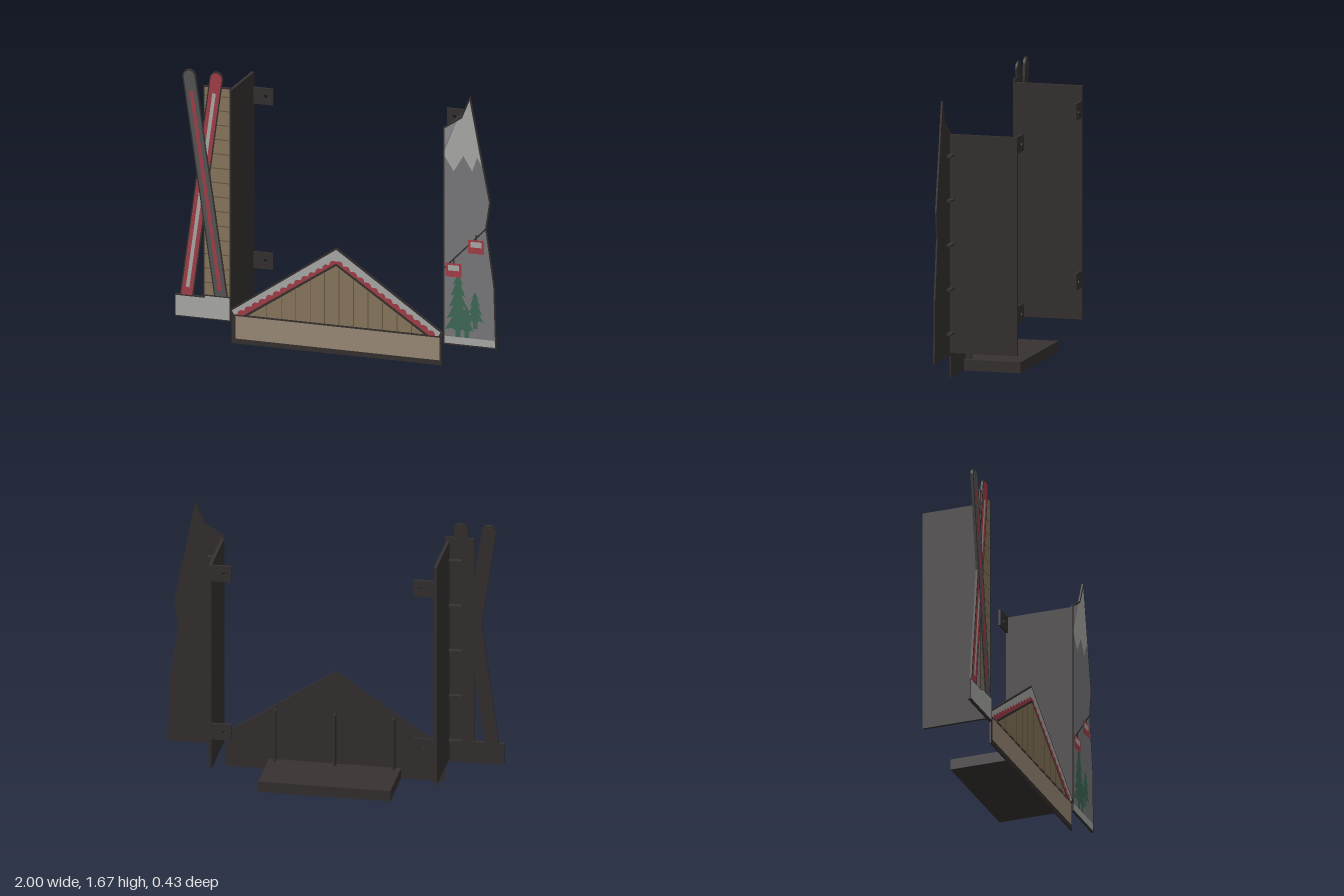
import * as THREE from 'three';

const mat = (color) => new THREE.MeshStandardMaterial({ color, roughness: 0.9 });
const dark = mat(0x383332), wood = mat(0x8f7d61), groove = mat(0x6b5b46), tan = mat(0xa4927f);
const snow = mat(0xb4b4b2), red = mat(0xad414c), rock = mat(0x808084), shade = mat(0x96969a);
const green = mat(0x42705c), skiGrey = mat(0x5a5a5a);

const BACK = 0.195, FACE = 0.205, STEP = 0.0009;

const toShape = (pts) => new THREE.Shape(pts.map(([x, y]) => new THREE.Vector2(x, y)));
const rect = (x0, y0, x1, y1) => [[x0, y0], [x1, y0], [x1, y1], [x0, y1]];

// Moves every edge of a counter-clockwise outline inwards by d
function inset(pts, d) {
  const n = pts.length;
  const normal = (a, b) => {
    const l = Math.hypot(b[0] - a[0], b[1] - a[1]);
    return [-(b[1] - a[1]) / l, (b[0] - a[0]) / l];
  };
  return pts.map((p, i) => {
    const m = normal(pts[(i + n - 1) % n], p), k = normal(p, pts[(i + 1) % n]);
    const s = d / (1 + m[0] * k[0] + m[1] * k[1]);
    return [p[0] + (m[0] + k[0]) * s, p[1] + (m[1] + k[1]) * s];
  });
}

export function createModel() {
  const root = new THREE.Group();
  root.name = 'shelfSurround';
  const group = (name) => {
    const g = new THREE.Group();
    g.name = name;
    root.add(g);
    return g;
  };
  const add = (parent, name, geo, m) => {
    const mesh = new THREE.Mesh(geo, m);
    mesh.name = name;
    parent.add(mesh);
    return mesh;
  };
  const box = (parent, name, x0, x1, y0, y1, z0, z1) =>
    add(parent, name, new THREE.BoxGeometry(x1 - x0, y1 - y0, z1 - z0), dark)
      .position.set((x0 + x1) / 2, (y0 + y1) / 2, (z0 + z1) / 2);
  // Dark backing plate, its front raised by a number of paint layers
  const plate = (parent, name, pts, layer = 0) => {
    const depth = FACE + layer * STEP - BACK;
    add(parent, name, new THREE.ExtrudeGeometry(toShape(pts), { depth, bevelEnabled: false }), dark)
      .position.z = BACK;
  };
  // Flat coloured inlay on a given paint layer
  const paint = (parent, name, pts, m, layer) => {
    add(parent, name, new THREE.ShapeGeometry(toShape(pts)), m).position.z = FACE + layer * STEP;
  };
  const line = (parent, name, [x0, y0], [x1, y1], w, m, layer) => {
    const l = Math.hypot(x1 - x0, y1 - y0), nx = -(y1 - y0) / l * w / 2, ny = (x1 - x0) / l * w / 2;
    paint(parent, name, [[x0 - nx, y0 - ny], [x1 - nx, y1 - ny], [x1 + nx, y1 + ny], [x0 + nx, y0 + ny]], m, layer);
  };

  // Gable front with shelf behind it
  const gable = group('gableFront');
  const outline = [[-0.65, 0.005], [0.655, 0.005], [0.655, 0.18], [0.665, 0.205], [0, 0.655], [-0.665, 0.205], [-0.65, 0.18]];
  plate(gable, 'gablePlate', outline);
  paint(gable, 'baseBand', rect(-0.627, 0.035, 0.642, 0.173), tan, 1);
  paint(gable, 'roofTrim', [[-0.635, 0.182], [0.635, 0.182], [0.648, 0.205], [0, 0.643], [-0.648, 0.205]], snow, 1);
  const half = [];
  for (let i = 0; i <= 96; i++) {
    const t = i / 96, bump = 0.016 * Math.abs(Math.sin(t * Math.PI * 14));
    half.push([0.615 * (1 - t) + bump * 0.55, 0.182 + 0.39 * t + bump * 0.83]);
  }
  const mirrored = half.slice(0, -1).reverse().map(([x, y]) => [-x, y]);
  paint(gable, 'scallopedTrim', [...half, ...mirrored], red, 2);
  paint(gable, 'gableOutline', [[-0.575, 0.182], [0.575, 0.182], [0, 0.56]], dark, 3);
  paint(gable, 'gableBoards', [[-0.545, 0.185], [0.545, 0.185], [0, 0.545]], wood, 4);
  for (let i = -5; i <= 5; i++) {
    const x = i * 0.09 + 0.02;
    line(gable, 'boardGroove', [x, 0.185], [x, 0.54 - Math.abs(x) * 0.66], 0.006, groove, 5);
  }
  box(gable, 'shelf', -0.39, 0.395, 0.005, 0.07, -0.15, 0.2);
  for (const x of [-0.35, 0, 0.355]) box(gable, 'gableRib', x - 0.006, x + 0.006, 0.07, 0.39, 0.158, 0.2);

  // Side walls with mounting tabs and stiffening ribs
  for (const [side, top, name] of [[-1, 1.54, 'rightWall'], [1, 1.45, 'leftWall']]) {
    const wall = group(name);
    const span = (a, b) => side > 0 ? [a, b] : [-b, -a];
    box(wall, 'wallPanel', ...span(0.66, 0.678), 0.155, top, -0.213, 0.2);
    for (const y of [0.395, 1.4]) {
      const [a, b] = span(0.54, 0.67);
      const tab = toShape(rect(a, y - 0.05, b, y + 0.05));
      tab.holes.push(new THREE.Path().absarc(side * 0.587, y, 0.012, 0, Math.PI * 2, true));
      add(wall, 'mountingTab', new THREE.ExtrudeGeometry(tab, { depth: 0.014, bevelEnabled: false }), dark)
        .position.z = -0.213;
    }
    for (let i = 0; i < 5; i++) {
      const y = 0.275 + i * (top - 0.395) / 4;
      box(wall, 'wallRib', ...span(0.675, 0.757), y - 0.006, y + 0.006, 0.165, 0.2);
    }
  }

  // Boarded panel, crossed skis and snow bank
  const skiSide = group('skiPanel');
  const panel = rect(-0.826, 0.15, -0.655, 1.562);
  plate(skiSide, 'boardPanel', panel);
  paint(skiSide, 'boards', inset(panel, 0.009), wood, 1);
  for (let y = 0.36; y < 1.55; y += 0.088) line(skiSide, 'boardGroove', [-0.817, y], [-0.664, y], 0.006, groove, 2);
  const skiOutline = (x0, y0, x1, y1, r) => {
    const a = Math.atan2(y1 - y0, x1 - x0), pts = [];
    for (let i = 0; i <= 16; i++) {
      const t = a - Math.PI / 2 + Math.PI * i / 16;
      pts.push([x1 + r * Math.cos(t), y1 + r * Math.sin(t)]);
    }
    const nx = -Math.sin(a) * r, ny = Math.cos(a) * r;
    return [[x0 + nx, y0 + ny], [x0 - nx, y0 - ny], ...pts];
  };
  const ski = (name, x0, x1, m, stripe, layer) => {
    plate(skiSide, name + 'Plate', skiOutline(x0, 0.2, x1, 1.61, 0.042), layer);
    paint(skiSide, name, skiOutline(x0, 0.2, x1, 1.61, 0.034), m, layer + 1);
    const at = (y) => [x0 + (x1 - x0) * (y - 0.2) / 1.41, y];
    line(skiSide, name + 'Stripe', at(0.32), at(1.52), 0.022, stripe, layer + 2);
  };
  ski('redSki', -0.938, -0.745, red, snow, 3);
  ski('greySki', -0.702, -0.912, skiGrey, red, 6);
  const bank = [[-1, 0.138], [-0.655, 0.138], [-0.655, 0.285], [-0.815, 0.285], [-0.82, 0.272], [-1, 0.272]];
  plate(skiSide, 'snowBankPlate', bank, 9);
  paint(skiSide, 'snowBank', inset(bank, 0.006), snow, 10);

  // Mountain panel
  const hill = group('mountainPanel');
  const ridge = [[0.663, 0.138], [0.996, 0.138], [0.984, 0.52], [0.934, 0.87], [0.958, 1.03], [0.884, 1.4],
    [0.832, 1.672], [0.774, 1.535], [0.663, 1.462]];
  plate(hill, 'mountainPlate', ridge);
  const inner = inset(ridge, 0.009);
  paint(hill, 'rockFace', inner, rock, 1);
  paint(hill, 'snowCap', [[0.672, 1.29], [0.73, 1.2], [0.79, 1.3], [0.845, 1.21], [0.875, 1.3], [0.902, 1.25],
    inner[5], inner[6], inner[7], [0.748, 1.507], [0.672, 1.32]], snow, 2);
  paint(hill, 'shadedRidge', [[0.672, 1.34], [0.742, 1.5], [0.672, 1.455]], shade, 2);
  paint(hill, 'groundSnow', [inner[0], inner[1], [0.984, 0.19], [0.672, 0.19]], snow, 2);

  // Pine trees as stacked, widening tiers
  const pine = (x, y0, y1, w, tiers) => {
    const right = [];
    for (let i = 0; i < tiers; i++) {
      const t = (i + 1) / tiers, y = y1 - (y1 - y0 - 0.04) * t;
      right.push([x + w / 2 * (0.25 + 0.75 * t), y], [x + w / 2 * (0.1 + 0.4 * t), y + 0.012]);
    }
    right.push([x + 0.014, y0 + 0.04], [x + 0.014, y0]);
    const left = right.map(([px, py]) => [2 * x - px, py]).reverse();
    paint(hill, 'pineTree', [[x, y1], ...right, ...left].reverse(), green, 3);
  };
  pine(0.757, 0.19, 0.575, 0.165, 5);
  pine(0.863, 0.25, 0.475, 0.11, 4);
  pine(0.81, 0.19, 0.39, 0.09, 3);

  // Cable and gondolas
  line(hill, 'cable', [0.672, 0.605], [0.934, 0.872], 0.009, dark, 4);
  for (const [x, y] of [[0.73, 0.555], [0.87, 0.71]]) {
    line(hill, 'hanger', [x, y + 0.08], [x, y + 0.115], 0.009, dark, 4);
    paint(hill, 'gondola', rect(x - 0.05, y, x + 0.05, y + 0.083), red, 5);
    paint(hill, 'gondolaWindow', rect(x - 0.034, y + 0.038, x + 0.034, y + 0.072), snow, 6);
  }
  return root;
}
